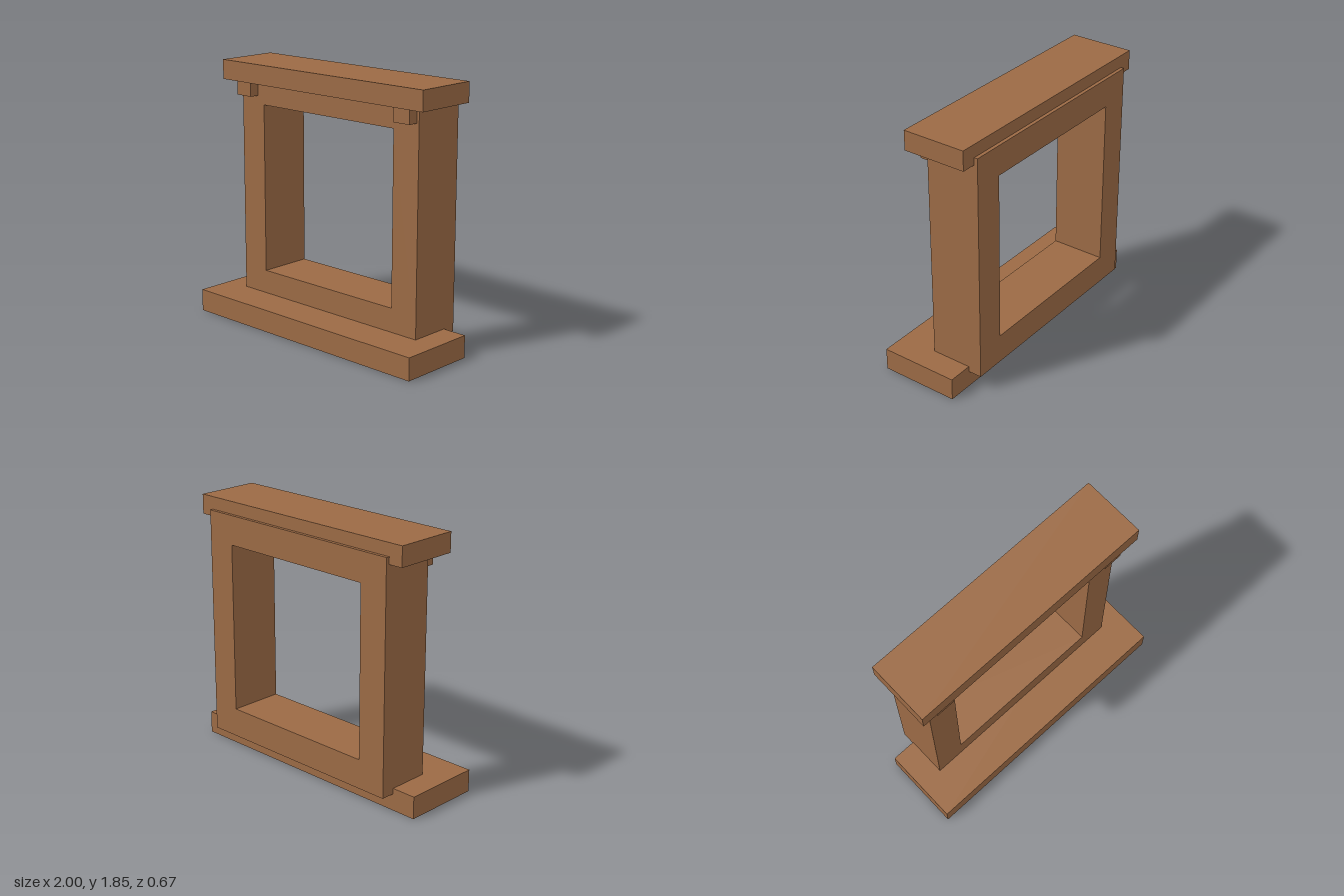
import * as THREE from 'three';

export function createModel() {
  const group = new THREE.Group();
  const wood = new THREE.MeshStandardMaterial({ color: 0x9b6a45 });
  wood.name = 'brown wood';

  // Box given by its lower and upper bounds on each axis
  const addBlock = (name, [x0, x1], [y0, y1], [z0, z1]) => {
    const mesh = new THREE.Mesh(new THREE.BoxGeometry(x1 - x0, y1 - y0, z1 - z0), wood);
    mesh.position.set((x0 + x1) / 2, (y0 + y1) / 2, (z0 + z1) / 2);
    mesh.name = name;
    group.add(mesh);
  };

  const rectangle = (Type, x, y0, y1) => {
    const path = new Type();
    path.moveTo(-x, y0);
    path.lineTo(x, y0);
    path.lineTo(x, y1);
    path.lineTo(-x, y1);
    path.closePath();
    return path;
  };

  // Deep window frame with a square opening
  const outline = rectangle(THREE.Shape, 0.82, 0.12, 1.76);
  outline.holes.push(rectangle(THREE.Path, 0.605, 0.33, 1.55));
  const frame = new THREE.Mesh(
    new THREE.ExtrudeGeometry(outline, { depth: 0.395, bevelEnabled: false }), wood);
  frame.position.z = -0.335;
  frame.name = 'frame';
  group.add(frame);

  // Projecting sill below and lintel above
  addBlock('sill', [-1, 1], [0, 0.16], [-0.235, 0.335]);
  addBlock('lintel', [-0.925, 0.925], [1.71, 1.85], [-0.31, 0.152]);

  // Small brackets under the lintel
  addBlock('leftBracket', [0.663, 0.8], [1.61, 1.71], [0.06, 0.132]);
  addBlock('rightBracket', [-0.8, -0.663], [1.61, 1.71], [0.06, 0.132]);

  return group;
}
